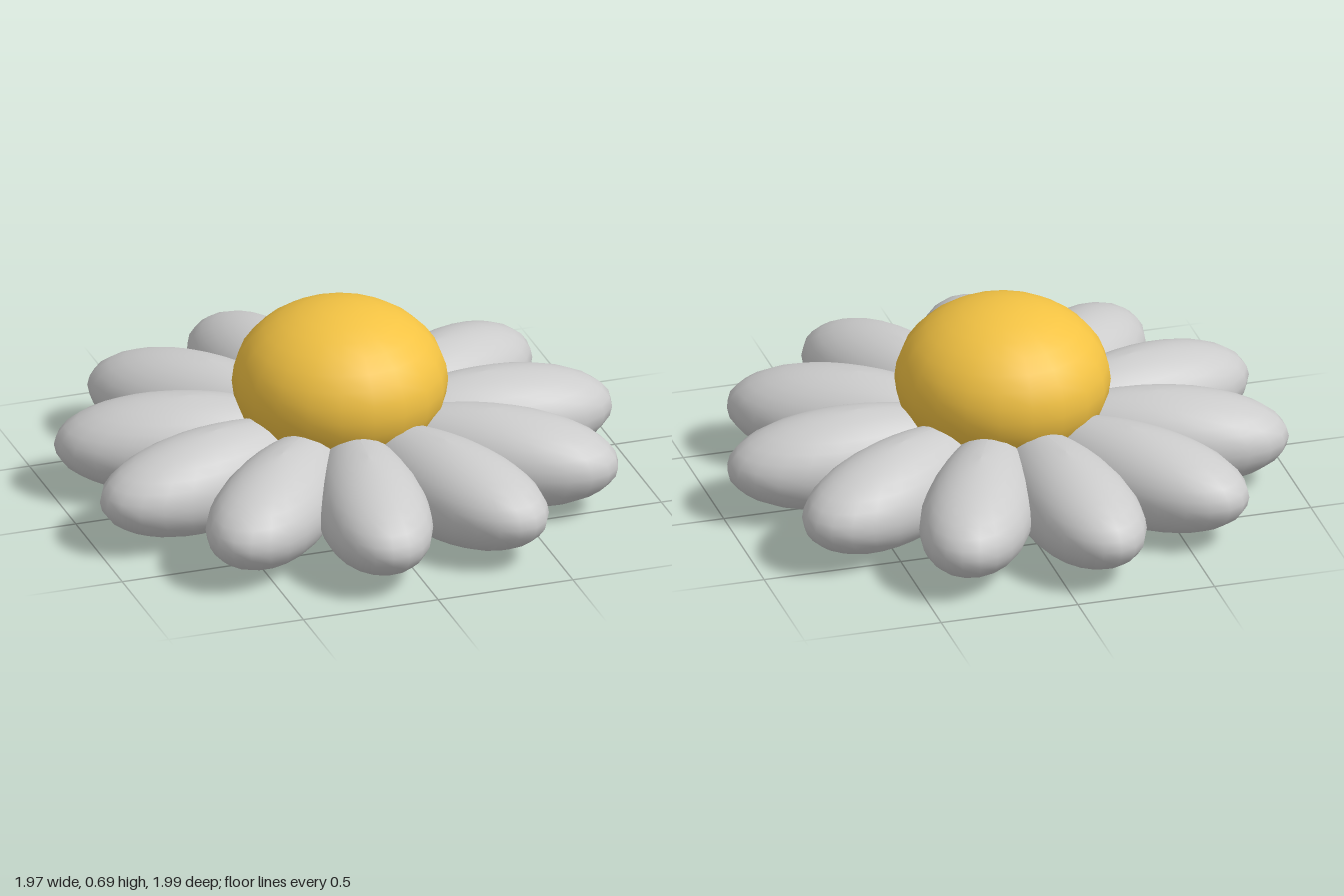
import * as THREE from 'three';

const PETALS = 11;
const CENTRE_X = -0.02;

// Egg-shaped petal lying along +x, slightly wider towards its tip
function petalGeometry() {
  const geometry = new THREE.SphereGeometry(1, 24, 16);
  const p = geometry.attributes.position;
  for (let i = 0; i < p.count; i++) {
    const t = p.getX(i);
    p.setXYZ(i, 0.535 + 0.47 * t, 0.18 + 0.18 * p.getY(i), p.getZ(i) * (0.19 + 0.05 * t));
  }
  geometry.computeVertexNormals();
  return geometry;
}

export function createModel() {
  const flower = new THREE.Group();
  flower.name = 'flower';

  // Ring of petals
  const grey = new THREE.MeshStandardMaterial({ color: 0xcccccc });
  const geometry = petalGeometry();
  const petals = new THREE.Group();
  petals.name = 'petals';
  for (let i = 0; i < PETALS; i++) {
    const petal = new THREE.Mesh(geometry, grey);
    petal.name = `petal${i + 1}`;
    petal.rotation.y = (i / PETALS) * Math.PI * 2;
    petals.add(petal);
  }
  petals.position.x = CENTRE_X;
  flower.add(petals);

  // Domed yellow centre
  const centre = new THREE.Mesh(
    new THREE.SphereGeometry(1, 20, 16),
    new THREE.MeshStandardMaterial({ color: 0xf2c243 })
  );
  centre.name = 'flowerCentre';
  centre.scale.set(0.38, 0.285, 0.38);
  centre.position.set(CENTRE_X, 0.41, 0);
  flower.add(centre);

  return flower;
}
